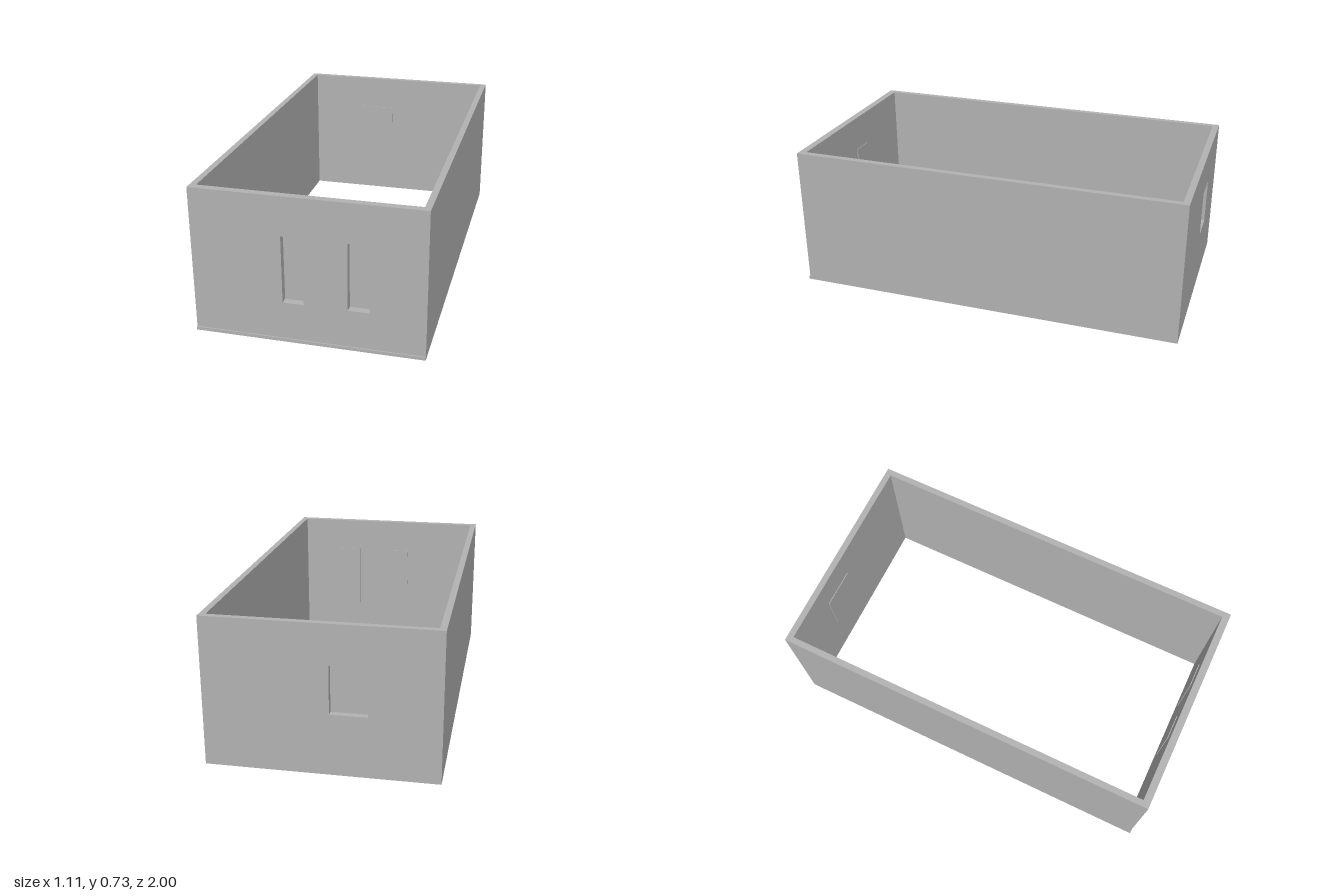
import * as THREE from 'three';

const HALF_W = 0.553, HEIGHT = 0.733, SIDE_T = 0.031;
const BACK = -1, BACK_IN = -0.968, FRONT_IN = 0.956, FRONT = 0.993;

export function createModel() {
  const model = new THREE.Group();
  const grey = new THREE.MeshStandardMaterial({ color: 0xb2b2b2 });
  grey.name = 'plain grey';

  const add = (name, geometry) => {
    const mesh = new THREE.Mesh(geometry, grey);
    mesh.name = name;
    model.add(mesh);
  };

  // Box given by its lower and upper limits
  const box = (name, x0, x1, y0, y1, z0, z1) => {
    const g = new THREE.BoxGeometry(x1 - x0, y1 - y0, z1 - z0);
    g.translate((x0 + x1) / 2, (y0 + y1) / 2, (z0 + z1) / 2);
    add(name, g);
  };

  const trace = (path, x0, x1, y0, y1) =>
    path.moveTo(x0, y0).lineTo(x1, y0).lineTo(x1, y1).lineTo(x0, y1).closePath();

  // End wall with rectangular window openings
  const endWall = (name, z0, z1, openings) => {
    const shape = new THREE.Shape();
    trace(shape, -HALF_W, HALF_W, 0, HEIGHT);
    for (const o of openings) {
      const hole = new THREE.Path();
      trace(hole, ...o);
      shape.holes.push(hole);
    }
    const g = new THREE.ExtrudeGeometry(shape, { depth: z1 - z0, bevelEnabled: false });
    g.translate(0, 0, z0);
    add(name, g);
  };

  const frontWindows = [[-0.119, -0.018, 0.203, 0.538], [0.19, 0.291, 0.203, 0.538]];
  const backWindow = [-0.217, -0.041, 0.302, 0.536];
  endWall('frontWall', FRONT_IN, FRONT, frontWindows);
  endWall('backWall', BACK, BACK_IN, [backWindow]);

  // Long side walls between the end walls
  for (const [name, s] of [['leftWall', 1], ['rightWall', -1]]) {
    const a = s * HALF_W, b = s * (HALF_W - SIDE_T);
    box(name, Math.min(a, b), Math.max(a, b), 0, HEIGHT, BACK_IN, FRONT_IN);
  }

  // Thin panes covering the openings from the inside
  const pane = (name, [x0, x1, y0, y1], z0, z1) => {
    const m = 0.013;
    box(name, x0 - m, x1 + m, y0 - m, y1 + m, z0, z1);
  };
  frontWindows.forEach((w, i) => pane('frontPane' + (i + 1), w, FRONT_IN - 0.004, FRONT_IN));
  pane('backPane', backWindow, BACK_IN, BACK_IN + 0.004);

  // Narrow ledge along the foot of the front wall
  box('frontLedge', -HALF_W, HALF_W, 0, 0.016, FRONT, 1);

  return model;
}
